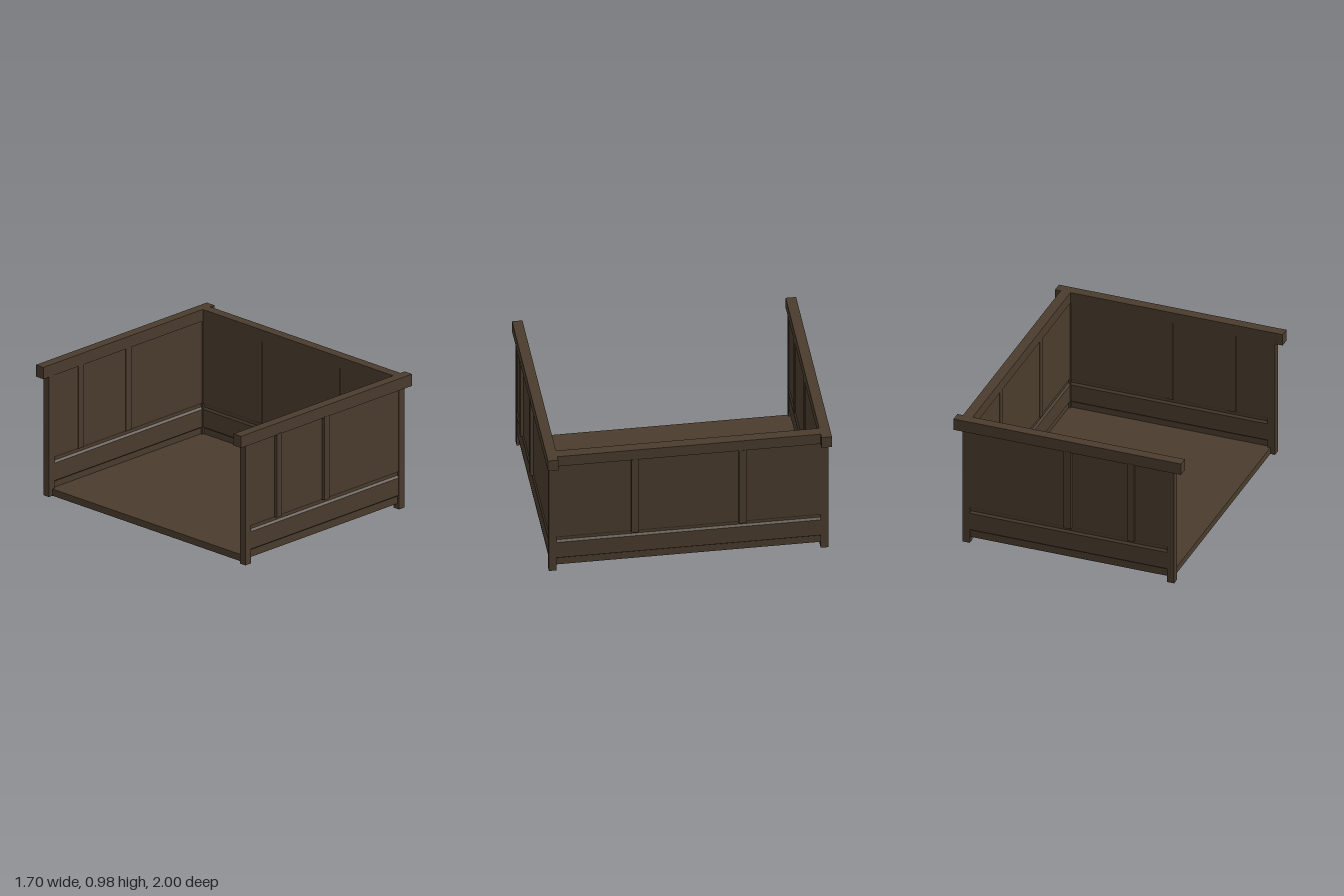
import * as THREE from 'three';

export function createModel() {
  const model = new THREE.Group();
  const wood = new THREE.MeshStandardMaterial({ color: 0x4a3c2d });
  wood.name = 'dark brown wood';

  // box given by its min and max corners
  function box(parent, name, x0, x1, y0, y1, z0, z1) {
    const mesh = new THREE.Mesh(new THREE.BoxGeometry(x1 - x0, y1 - y0, z1 - z0), wood);
    mesh.position.set((x0 + x1) / 2, (y0 + y1) / 2, (z0 + z1) / 2);
    mesh.name = name;
    parent.add(mesh);
  }

  // wall section: half thickness and height, with bevelled ledges
  const half = [
    [0.012, 0.04], [0.012, 0.095], [0.024, 0.105], [0.024, 0.235],
    [0.012, 0.25], [0.012, 0.27], [0.022, 0.285], [0.022, 0.91],
  ];
  const outline = [...half, ...half.map(([d, y]) => [-d, y]).reverse()];
  const section = new THREE.Shape(outline.map(([d, y]) => new THREE.Vector2(d, y)));

  function panel(parent, length) {
    const geo = new THREE.ExtrudeGeometry(section, { depth: length, bevelEnabled: false });
    geo.translate(0, 0, -length / 2);
    const mesh = new THREE.Mesh(geo, wood);
    mesh.name = 'panelledBoards';
    parent.add(mesh);
    return mesh;
  }

  // front and back walls
  for (const s of [1, -1]) {
    const wall = new THREE.Group();
    wall.name = s > 0 ? 'frontWall' : 'backWall';
    const zBox = (name, x0, x1, y0, y1, a, b) =>
      box(wall, name, x0, x1, y0, y1, Math.min(s * a, s * b), Math.max(s * a, s * b));
    const boards = panel(wall, 1.5);
    boards.rotation.y = Math.PI / 2;
    boards.position.z = s * 0.955;
    for (const x of [-0.765, 0.7625]) {
      zBox('cornerPost', x - 0.0275, x + 0.0275, 0, 0.9, 0.928, 0.982);
    }
    for (const x of [-0.472, 0]) {
      zBox('divider', x - 0.026, x + 0.026, 0.28, 0.9, 0.926, 1);
    }
    zBox('topRail', -0.85, 0.85, 0.893, 0.98, 0.925, 0.998);
    model.add(wall);
  }

  // closed side wall
  const side = new THREE.Group();
  side.name = 'leftWall';
  panel(side, 1.88).position.x = 0.7625;
  for (const z of [-0.378, 0.378]) {
    box(side, 'divider', 0.736, 0.81, 0.28, 0.9, z - 0.027, z + 0.027);
  }
  box(side, 'topRail', 0.735, 0.808, 0.897, 0.98, -0.926, 0.926);
  model.add(side);

  // floor and the sill along the open side
  box(model, 'floor', -0.755, 0.765, 0.04, 0.05, -0.955, 0.955);
  box(model, 'openSideSill', -0.757, -0.74, 0, 0.05, -0.94, 0.94);

  return model;
}
